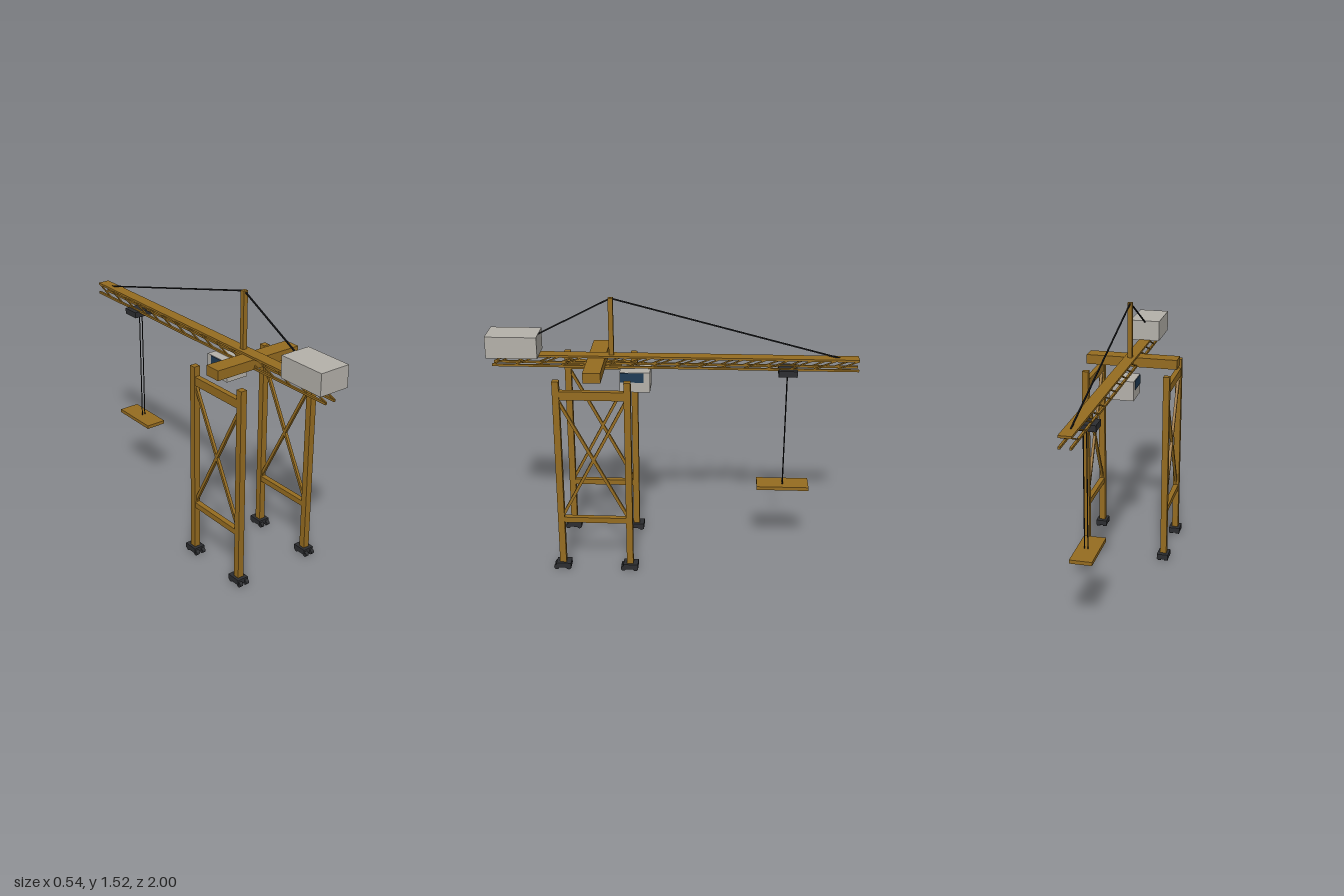
import * as THREE from 'three';

const mat = (name, color) => {
  const m = new THREE.MeshStandardMaterial({ color });
  m.name = name;
  return m;
};

export function createModel() {
  const steel = mat('ochre steel', 0x956c20);
  const grey = mat('light grey', 0xb4b1aa);
  const dark = mat('dark iron', 0x2c2d30);
  const cable = mat('black cable', 0x17181a);
  const glass = mat('blue glass', 0x1e3b55);

  const crane = new THREE.Group();
  crane.name = 'craneModel';

  const add = (name, geo, material, x, y, z, parent = crane) => {
    const mesh = new THREE.Mesh(geo, material);
    mesh.name = name;
    mesh.position.set(x, y, z);
    parent.add(mesh);
    return mesh;
  };
  // Box given by its extents on each axis
  const box = (name, material, [x0, x1], [y0, y1], [z0, z1], parent) =>
    add(name, new THREE.BoxGeometry(x1 - x0, y1 - y0, z1 - z0), material,
      (x0 + x1) / 2, (y0 + y1) / 2, (z0 + z1) / 2, parent);
  // Square bar in a plane of constant x, from (y, z) to (y, z)
  const bar = (name, material, x, [ya, za], [yb, zb], t, parent) => {
    const geo = new THREE.BoxGeometry(t, t, Math.hypot(yb - ya, zb - za));
    const mesh = add(name, geo, material, x, (ya + yb) / 2, (za + zb) / 2, parent);
    mesh.rotation.x = -Math.atan2(yb - ya, zb - za);
    return mesh;
  };

  // Side frames: two legs, two struts, a cross brace and wheeled feet
  const legZ = [0.606, 0.228];
  for (const side of [-1, 1]) {
    const frame = new THREE.Group();
    frame.name = side > 0 ? 'leftFrame' : 'rightFrame';
    crane.add(frame);
    const x = side * 0.235;
    for (const z of legZ) {
      box('leg', steel, [x - 0.018, x + 0.018], [0.035, 1.13], [z - 0.018, z + 0.018], frame);
      box('foot', dark, [x - 0.033, x + 0.033], [0.012, 0.042], [z - 0.045, z + 0.037], frame);
      for (const dx of [-0.02, 0.02]) {
        for (const dz of [-0.03, 0.037]) {
          const wheel = add('wheel', new THREE.CylinderGeometry(0.015, 0.015, 0.02, 12), dark,
            x + dx, 0.015, z + dz, frame);
          wheel.rotation.z = Math.PI / 2;
        }
      }
    }
    box('upperStrut', steel, [x - 0.015, x + 0.015], [1.027, 1.075], [0.228, 0.606], frame);
    box('lowerStrut', steel, [x - 0.015, x + 0.015], [0.295, 0.327], [0.228, 0.606], frame);
    bar('brace', steel, x, [1.025, 0.6], [0.325, 0.234], 0.016, frame);
    bar('brace', steel, x, [0.325, 0.6], [1.025, 0.234], 0.016, frame);
  }

  // Cross beam joining the frames
  box('crossBeam', steel, [-0.266, 0.266], [1.132, 1.187], [0.364, 0.458]);

  // Boom: top plate, two lower rails and slanted lattice bars
  const boom = new THREE.Group();
  boom.name = 'boom';
  crane.add(boom);
  const z0 = 0.98, z1 = -1, bays = 16, step = (z1 - z0) / bays;
  box('topChord', steel, [-0.034, 0.034], [1.186, 1.198], [z1, z0], boom);
  for (const x of [-0.028, 0.028]) {
    box('lowerChord', steel, [x - 0.006, x + 0.006], [1.131, 1.143], [z1, z0], boom);
    for (let i = 0; i < bays; i++) {
      const z = z0 + i * step;
      bar('latticeBar', steel, x, [1.14, z], [1.19, z + step], 0.007, boom);
    }
  }

  // Mast with its two stays
  box('mast', steel, [-0.013, 0.013], [1.19, 1.515], [0.318, 0.344]);
  bar('frontStay', cable, 0, [1.512, 0.331], [1.285, 0.77], 0.007);
  bar('boomStay', cable, 0, [1.512, 0.331], [1.196, -0.9], 0.007);

  // Counterweight
  box('counterweight', grey, [-0.088, 0.088], [1.195, 1.315], [0.722, 1]);

  // Operator cab with a window on each side
  box('cab', grey, [-0.069, 0.069], [1.007, 1.119], [0.12, 0.284]);
  for (const side of [-1, 1]) {
    add('cabWindow', new THREE.BoxGeometry(0.004, 0.053, 0.126), glass, side * 0.07, 1.09, 0.217);
  }

  // Trolley, hoist ropes and hanging spreader
  box('trolley', dark, [-0.061, 0.061], [1.104, 1.138], [-0.672, -0.571]);
  for (const x of [0, 0.018]) {
    add('hoistRope', new THREE.CylinderGeometry(0.003, 0.003, 0.67, 8), cable, x, 0.775, -0.62);
  }
  box('spreader', steel, [-0.06, 0.06], [0.425, 0.445], [-0.765, -0.475]);

  return crane;
}
